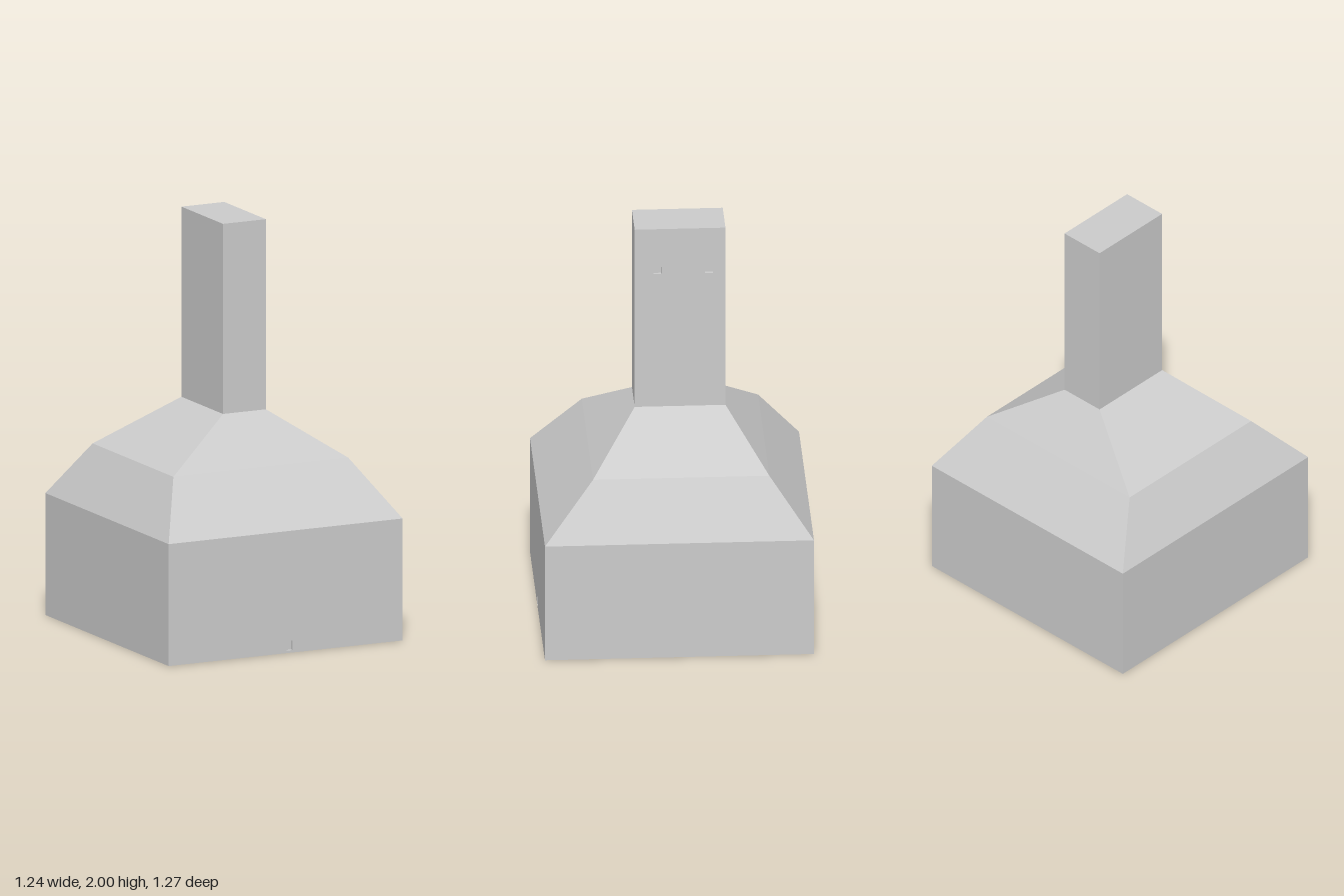
import * as THREE from 'three';

const material = new THREE.MeshStandardMaterial({ color: 0xcccccc, flatShading: true, side: THREE.FrontSide });

function addMesh(parent, name, geometry) {
  const mesh = new THREE.Mesh(geometry, material);
  mesh.name = name;
  parent.add(mesh);
  return mesh;
}

// Rectangular rings [y, x0, x1, z0, z1] joined from bottom to top.
// Sides run: 0 front, 1 left (+x), 2 back, 3 right (-x).
function loft(rings, { skip = -1, bottom = false, top = false } = {}) {
  const corners = rings.map(([y, x0, x1, z0, z1]) => [[x0, y, z1], [x1, y, z1], [x1, y, z0], [x0, y, z0]]);
  const points = [];
  const quad = (a, b, c, d) => points.push(...a, ...b, ...c, ...a, ...c, ...d);
  for (let i = 0; i < rings.length - 1; i++) {
    const lo = corners[i], hi = corners[i + 1];
    for (let s = 0; s < 4; s++) {
      const n = (s + 1) % 4;
      if (s !== skip) quad(lo[s], lo[n], hi[n], hi[s]);
    }
  }
  if (bottom) quad(...[...corners[0]].reverse());
  if (top) quad(...corners[corners.length - 1]);
  const geometry = new THREE.BufferGeometry();
  geometry.setAttribute('position', new THREE.Float32BufferAttribute(points, 3));
  geometry.computeVertexNormals();
  return geometry;
}

// Flat wall facing +z with small recessed pockets [x0, x1, y0, y1]
function pocketWall(name, [x0, x1, y0, y1], pockets, depth) {
  const wall = new THREE.Group();
  wall.name = name;
  const corners = ([a, b, c, d]) => [[a, c], [b, c], [b, d], [a, d]].map(p => new THREE.Vector2(...p));
  const shape = new THREE.Shape(corners([x0, x1, y0, y1]));
  for (const p of pockets) {
    shape.holes.push(new THREE.Path(corners(p).reverse()));
    // A box turned inside out, without its outer face
    const box = new THREE.BoxGeometry(p[1] - p[0], p[3] - p[2], depth);
    const index = Array.from(box.index.array);
    box.setIndex([...index.slice(0, 24), ...index.slice(30)].reverse());
    const inside = box.toNonIndexed();
    inside.computeVertexNormals();
    inside.translate((p[0] + p[1]) / 2, (p[2] + p[3]) / 2, -depth / 2);
    addMesh(wall, 'recess', inside);
  }
  addMesh(wall, 'wallFace', new THREE.ShapeGeometry(shape));
  return wall;
}

export function createModel() {
  const model = new THREE.Group();
  model.name = 'hearthWithChimney';

  // Ring outlines shared by neighbouring parts
  const base = [-0.622, 0.622, -0.637, 0.637];
  const shoulder = [-0.475, 0.455, -0.435, 0.4];
  const stack = [-0.1, 0.128, -0.246, 0.184];

  // Block at the bottom, with a small recess low in its front
  addMesh(model, 'baseBlock', loft([[0, ...base], [0.59, ...base]], { skip: 0, bottom: true }));
  const front = pocketWall('baseFront', [base[0], base[1], 0, 0.59], [[0.004, 0.036, 0.012, 0.058]], 0.015);
  front.position.z = base[3];
  model.add(front);

  // Two-pitch sloping hood
  addMesh(model, 'hood', loft([[0.59, ...base], [0.855, ...shoulder], [1.08, ...stack]]));

  // Chimney with two small recesses in its left side
  addMesh(model, 'chimney', loft([[1.08, ...stack], [2, ...stack]], { skip: 1, top: true }));
  const side = pocketWall('chimneySide', [-stack[3], -stack[2], 1.08, 2],
    [[-0.095, -0.058, 1.767, 1.804], [0.15, 0.187, 1.767, 1.804]], 0.015);
  side.rotation.y = Math.PI / 2;
  side.position.x = stack[1];
  model.add(side);

  return model;
}
